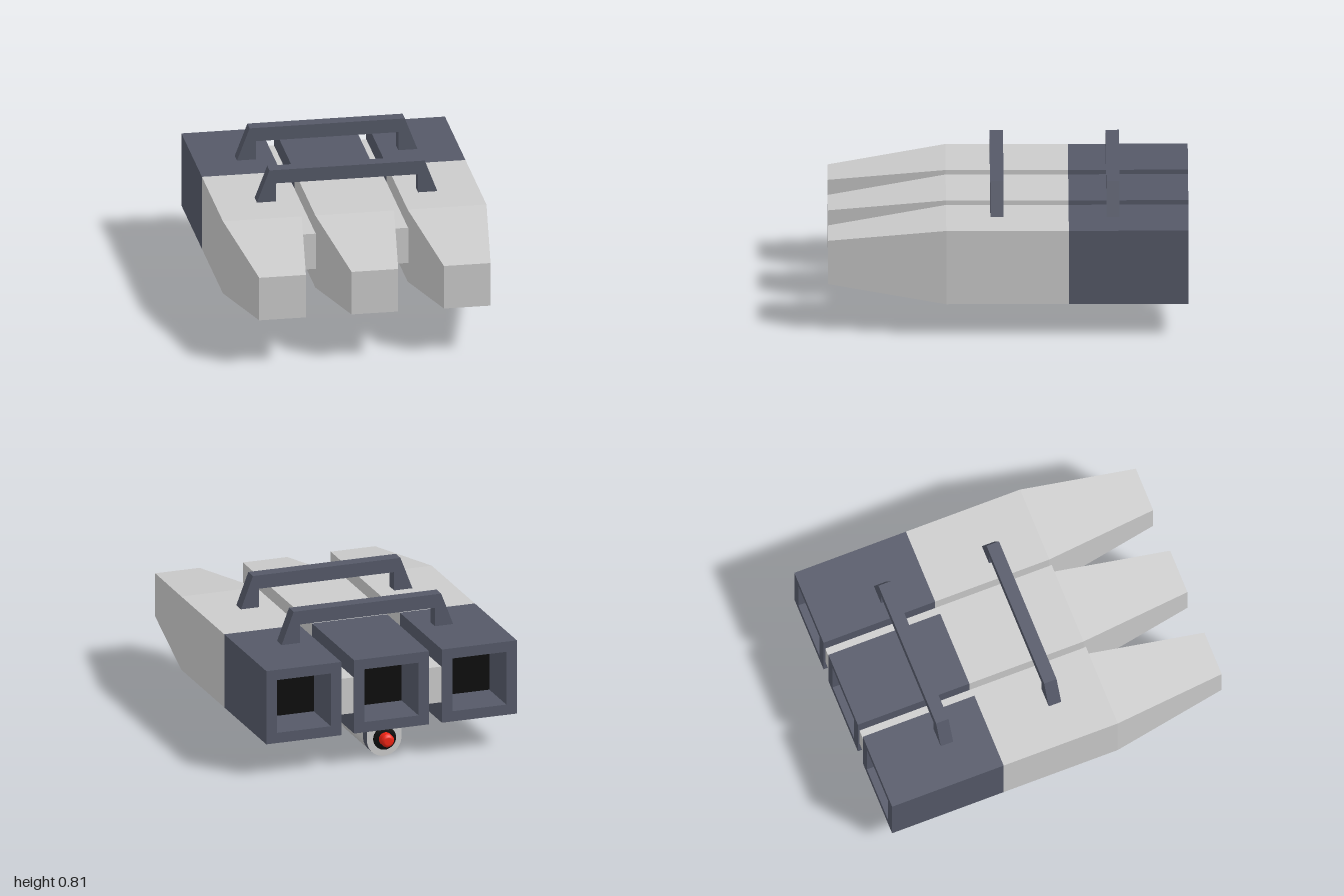
import * as THREE from 'three';

const mat = (color, flatShading = true) => new THREE.MeshStandardMaterial({ color, flatShading });
const grey = mat(0xcccccc), greySmooth = mat(0xcccccc, false);
const navy = mat(0x555968), navySmooth = mat(0x555968, false);
const black = mat(0x0b0b0b, false), red = mat(0xf02414, false);

function add(parent, name, geometry, material, x = 0, y = 0, z = 0) {
  const mesh = new THREE.Mesh(geometry, material);
  mesh.name = name;
  mesh.position.set(x, y, z);
  parent.add(mesh);
  return mesh;
}

const extrude = (shape, depth) =>
  new THREE.ExtrudeGeometry(shape, { depth, bevelEnabled: false, curveSegments: 24 });

function rectangle(w, h, Type = THREE.Shape) {
  return new Type([[-w, -h], [w, -h], [w, h], [-w, h]].map(([x, y]) => new THREE.Vector2(x / 2, y / 2)));
}

const W = 0.444, H = 0.43, MID = 0.41;

// Straight hull whose last section narrows towards the front
function hullGeometry() {
  const g = new THREE.BoxGeometry(W, H, 2, 1, 1, 2);
  const p = g.attributes.position;
  for (let i = 0; i < p.count; i++) {
    const z = p.getZ(i);
    if (z > 0.5) p.setXYZ(i, p.getX(i) * 0.592, p.getY(i) * 0.59, 1);
    else p.setZ(i, z < -0.5 ? -0.335 : 0.345);
  }
  g.computeVertexNormals();
  return g;
}

function makePod(x) {
  const pod = new THREE.Group();
  pod.name = 'pod';
  pod.position.set(x, MID, 0);
  add(pod, 'hull', hullGeometry(), grey);
  // Rear housing with a square recess
  const frame = rectangle(W, H);
  frame.holes.push(rectangle(0.32, 0.31, THREE.Path));
  add(pod, 'rearHousing', extrude(frame, 0.665), navy, 0, 0, -1);
  add(pod, 'recessBack', new THREE.BoxGeometry(0.33, 0.32, 0.04), black, 0, 0, -0.71);
  return pod;
}

// Bridge-shaped handle with sloping outer ends
function handleGeometry() {
  const half = [[0.51, 0.62], [0.437, 0.812], [-0.437, 0.812], [-0.51, 0.62],
    [-0.4, 0.62], [-0.4, 0.733], [0.4, 0.733], [0.4, 0.62]];
  return extrude(new THREE.Shape(half.map(([x, y]) => new THREE.Vector2(x, y))), 0.074);
}

// Round-bottomed section for the unit underneath
function unitShape() {
  const r = 0.102, s = new THREE.Shape();
  s.moveTo(r, 0.2);
  s.lineTo(-r, 0.2);
  s.lineTo(-r, r);
  s.absarc(0, r, r, Math.PI, Math.PI * 2, false);
  s.lineTo(r, 0.2);
  return s;
}

// Turned part whose profile runs backwards along -z
function turned(points) {
  return new THREE.LatheGeometry(points.map(([r, d]) => new THREE.Vector2(r, d)), 28).rotateX(-Math.PI / 2);
}

function makeUnderUnit() {
  const unit = new THREE.Group();
  unit.name = 'underUnit';
  add(unit, 'unitBody', extrude(unitShape(), 0.355), greySmooth, 0, 0, -0.82);
  add(unit, 'unitBand', extrude(unitShape(), 0.06), navySmooth, 0, 0, -0.88);
  add(unit, 'unitEndPlate', extrude(unitShape(), 0.004), greySmooth, 0, 0, -0.884);
  add(unit, 'buttonCollar', turned([[0.066, 0], [0.066, 0], [0.066, 0.011], [0.066, 0.011],
    [0.045, 0.015], [0, 0.015]]), black, 0, 0.105, -0.884);
  add(unit, 'button', turned([[0.038, 0], [0.038, 0.04], [0.038, 0.04], [0.034, 0.046],
    [0.028, 0.054], [0.02, 0.055], [0, 0.055]]), red, 0, 0.105, -0.898);
  return unit;
}

export function createModel() {
  const model = new THREE.Group();
  model.name = 'triplePodUnit';

  for (const x of [-0.52, 0, 0.52]) model.add(makePod(x));

  // Spacers between neighbouring pods
  for (const side of [-1, 1])
    add(model, 'spacer', new THREE.BoxGeometry(0.09, 0.21, 1.35), grey, side * 0.26, 0.417, -0.315);

  for (const z of [0.026, -0.618]) add(model, 'handle', handleGeometry(), navy, 0, 0, z);

  model.add(makeUnderUnit());
  return model;
}
